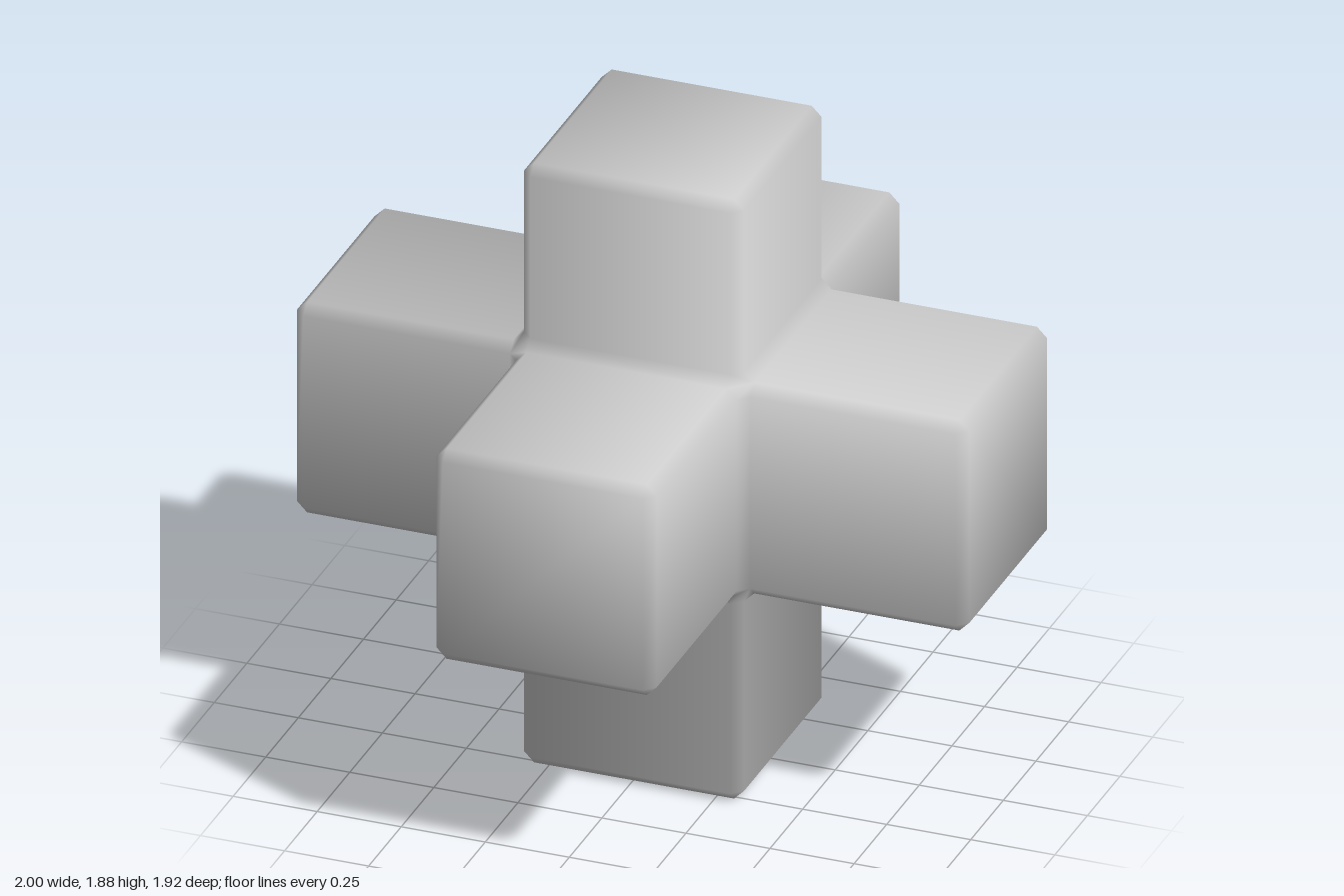
import * as THREE from 'three';

// Six-armed solid cross with chamfered convex and concave edges
const BEVEL = 0.03;
const CENTRE = [0.0025, 0.985, -0.0375];
const HALF = [0.3275, 0.33, 0.3275]; // half thickness of the arms on each axis
const MIN = [-1, 0, -0.96];
const MAX = [1, 1.88, 0.96];

// Signed levels on an axis: 1 inner edge, 2 arm face, 3 arm root, 4 tip bevel, 5 tip
function coordinate(axis, level) {
  const s = Math.sign(level);
  const k = Math.abs(level);
  if (k <= 3) return CENTRE[axis] + s * (HALF[axis] + (k - 2) * BEVEL);
  return (s > 0 ? MAX : MIN)[axis] - s * (5 - k) * BEVEL;
}

function crossGeometry() {
  const positions = [], normals = [], indices = [], known = new Map();

  function vertex(levels) {
    const key = levels.join();
    if (!known.has(key)) {
      known.set(key, normals.length);
      positions.push(new THREE.Vector3(...levels.map((l, axis) => coordinate(axis, l))));
      normals.push(new THREE.Vector3());
    }
    return known.get(key);
  }

  // Adds one polygon facing along "out"; every face counts equally in the smooth normals
  function face(axes, out, corners) {
    const place = (values) => {
      const v = [0, 0, 0];
      axes.forEach((axis, i) => { v[axis] = values[i]; });
      return v;
    };
    const ids = corners.map((c) => vertex(place(c)));
    const [p, q, r] = ids.map((i) => positions[i]);
    const n = q.clone().sub(p).cross(r.clone().sub(p)).normalize();
    if (n.dot(new THREE.Vector3(...place(out))) < 0) {
      n.negate();
      ids.reverse();
    }
    ids.forEach((i) => normals[i].add(n));
    for (let i = 1; i < ids.length - 1; i++) indices.push(ids[0], ids[i], ids[i + 1]);
  }

  const signs = [-1, 1];
  for (let a = 0; a < 3; a++) for (const s of signs) {
    const b0 = (a + 1) % 3, c0 = (a + 2) % 3;
    // Arm tip
    face([a, b0, c0], [s, 0, 0], [[5 * s, -1, -1], [5 * s, 1, -1], [5 * s, 1, 1], [5 * s, -1, 1]]);

    for (const [b, c] of [[b0, c0], [c0, b0]]) for (const t of signs) {
      const axes = [a, b, c];
      const strip = (out, [a1, b1], [a2, b2]) =>
        face(axes, out, [[a1, b1, -1], [a2, b2, -1], [a2, b2, 1], [a1, b1, 1]]);
      // Arm side, bevel round the tip, and fillet between neighbouring arms
      strip([0, t, 0], [3 * s, 2 * t], [4 * s, 2 * t]);
      strip([s, t, 0], [4 * s, 2 * t], [5 * s, t]);
      if (a < b) strip([s, t, 0], [3 * s, 2 * t], [2 * s, 3 * t]);
    }

    for (const t of signs) for (const u of signs) {
      const axes = [a, b0, c0];
      // Bevel along the arm, and the small triangle at its tip corner
      face(axes, [0, t, u], [[3 * s, 2 * t, u], [4 * s, 2 * t, u], [4 * s, t, 2 * u], [3 * s, t, 2 * u]]);
      face(axes, [s, t, u], [[5 * s, t, u], [4 * s, 2 * t, u], [4 * s, t, 2 * u]]);
      // Hexagon where three arms meet
      if (a === 0) {
        face(axes, [s, t, u], [[3, 2, 1], [2, 3, 1], [1, 3, 2], [1, 2, 3], [2, 1, 3], [3, 1, 2]]
          .map(([x, y, z]) => [x * s, y * t, z * u]));
      }
    }
  }

  const geometry = new THREE.BufferGeometry().setFromPoints(positions);
  const flat = normals.flatMap((n) => n.normalize().toArray());
  geometry.setAttribute('normal', new THREE.Float32BufferAttribute(flat, 3));
  geometry.setIndex(indices);
  return geometry;
}

export function createModel() {
  const model = new THREE.Group();
  model.name = 'sixArmedCross';
  const cross = new THREE.Mesh(crossGeometry(), new THREE.MeshStandardMaterial({ color: 0xcccccc }));
  cross.name = 'crossBody';
  model.add(cross);
  return model;
}
